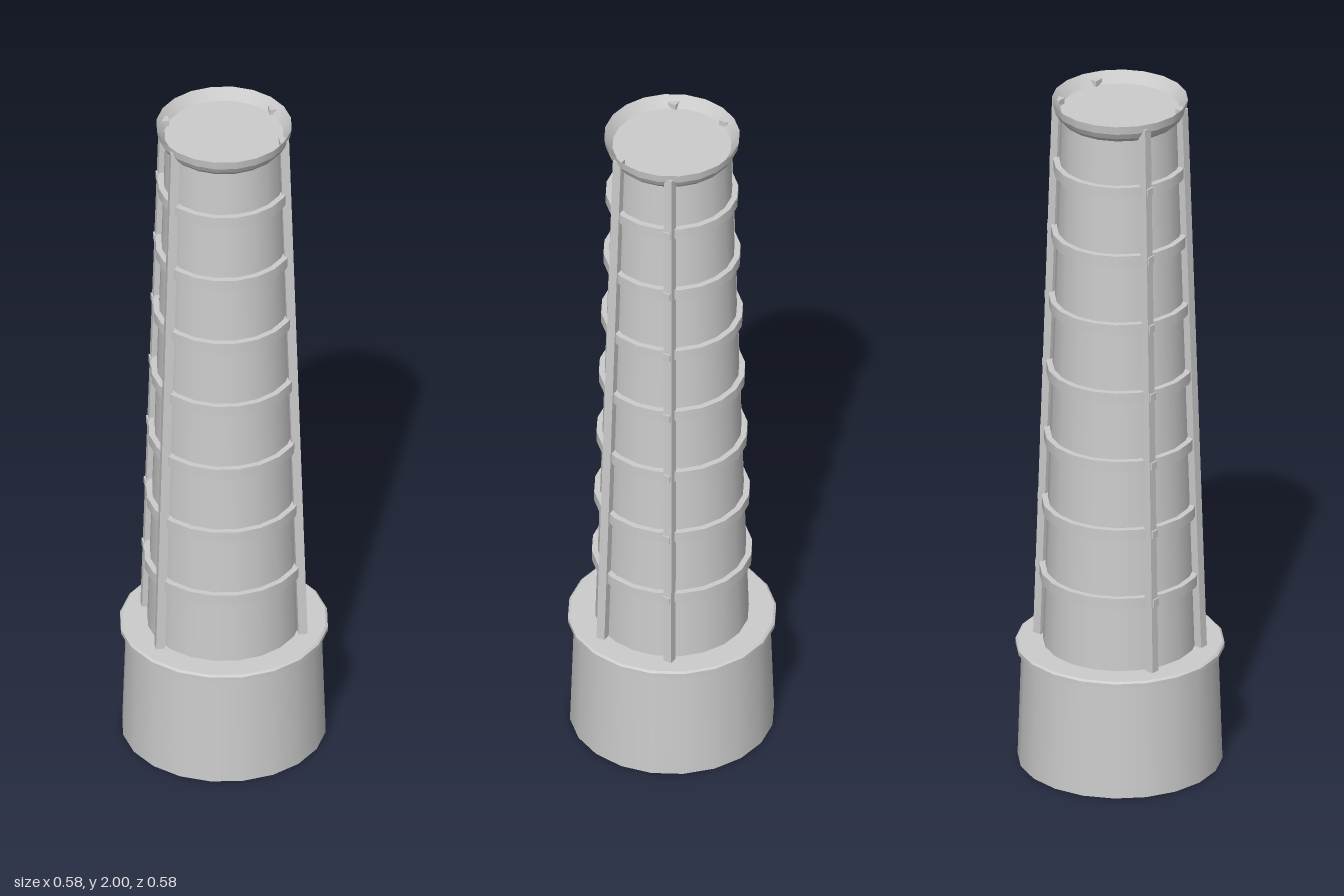
import * as THREE from 'three';
import { mergeGeometries } from 'three/addons/utils/BufferGeometryUtils.js';

const SIDES = 20;

// Revolved profile: smooth around the axis, sharp between bands
function turned(profile) {
  const bands = [];
  for (let i = 0; i < profile.length - 1; i++) {
    const pair = [profile[i], profile[i + 1]].map(([r, y]) => new THREE.Vector2(r, y));
    bands.push(new THREE.LatheGeometry(pair, SIDES));
  }
  return mergeGeometries(bands);
}

// Radius of the tapering column at height y
const columnRadius = (y) => THREE.MathUtils.mapLinear(y, 0.354, 1.95, 0.213, 0.163);

// Centre of a rib at height y, for the +x +z quarter
const RIB_BOTTOM = 0.354, RIB_TOP = 1.985;
function ribCentre(y) {
  const t = (y - RIB_BOTTOM) / (RIB_TOP - RIB_BOTTOM);
  return [THREE.MathUtils.lerp(0.2, 0.153, t), THREE.MathUtils.lerp(0.106, 0.081, t)];
}

// Square bar leaning inward along the column
function ribGeometry(sx, sz) {
  const g = new THREE.BoxGeometry(0.025, RIB_TOP - RIB_BOTTOM, 0.025);
  g.translate(0, (RIB_TOP + RIB_BOTTOM) / 2, 0);
  const p = g.attributes.position;
  for (let i = 0; i < p.count; i++) {
    const [cx, cz] = ribCentre(p.getY(i));
    p.setXYZ(i, p.getX(i) + sx * cx, p.getY(i), p.getZ(i) + sz * cz);
  }
  g.computeVertexNormals();
  return g;
}

export function createModel() {
  const group = new THREE.Group();
  const grey = new THREE.MeshStandardMaterial({ color: 0xcccccc, side: THREE.DoubleSide });
  grey.name = 'light grey';

  const add = (name, geometry) => {
    const mesh = new THREE.Mesh(geometry, grey);
    mesh.name = name;
    group.add(mesh);
    return mesh;
  };

  // Open-bottomed base with a thin lip and ledge
  add('base', turned([[0.283, 0], [0.272, 0.335]]));
  add('baseLip', turned([[0.272, 0.333], [0.289, 0.338], [0.289, 0.35], [0.283, 0.355], [0.21, 0.355]]));

  // Tapering column
  add('column', turned([[0.213, 0.354], [0.163, 1.95]]));

  // Flared rim with a shallow recess and a flat top
  add('rim', turned([
    [0.163, 1.945], [0.174, 1.957], [0.184, 1.975], [0.188, 2], [0.165, 1.968],
  ]));
  add('top', turned([[0.165, 1.968], [0, 1.968]]));

  // Hoops around the column
  const hoopHeights = Array.from({ length: 7 }, (_, i) => 0.563 + i * 0.2055);
  for (const y of hoopHeights) {
    const inner = columnRadius(y) - 0.004, outer = columnRadius(y) + 0.016, h = 0.016;
    add('hoop', turned([[inner, y - h], [outer, y - h], [outer, y + h], [inner, y + h]]));
  }

  // Four leaning ribs, the rear pair with a joint at each hoop
  for (const sx of [-1, 1]) {
    for (const sz of [-1, 1]) {
      add('rib', ribGeometry(sx, sz));
      if (sz > 0) continue;
      for (const y of hoopHeights) {
        const [cx, cz] = ribCentre(y);
        add('ribJoint', new THREE.BoxGeometry(0.026, 0.022, 0.022))
          .position.set(sx * (cx + 0.004), y, sz * (cz - 0.002));
      }
    }
  }
  return group;
}
